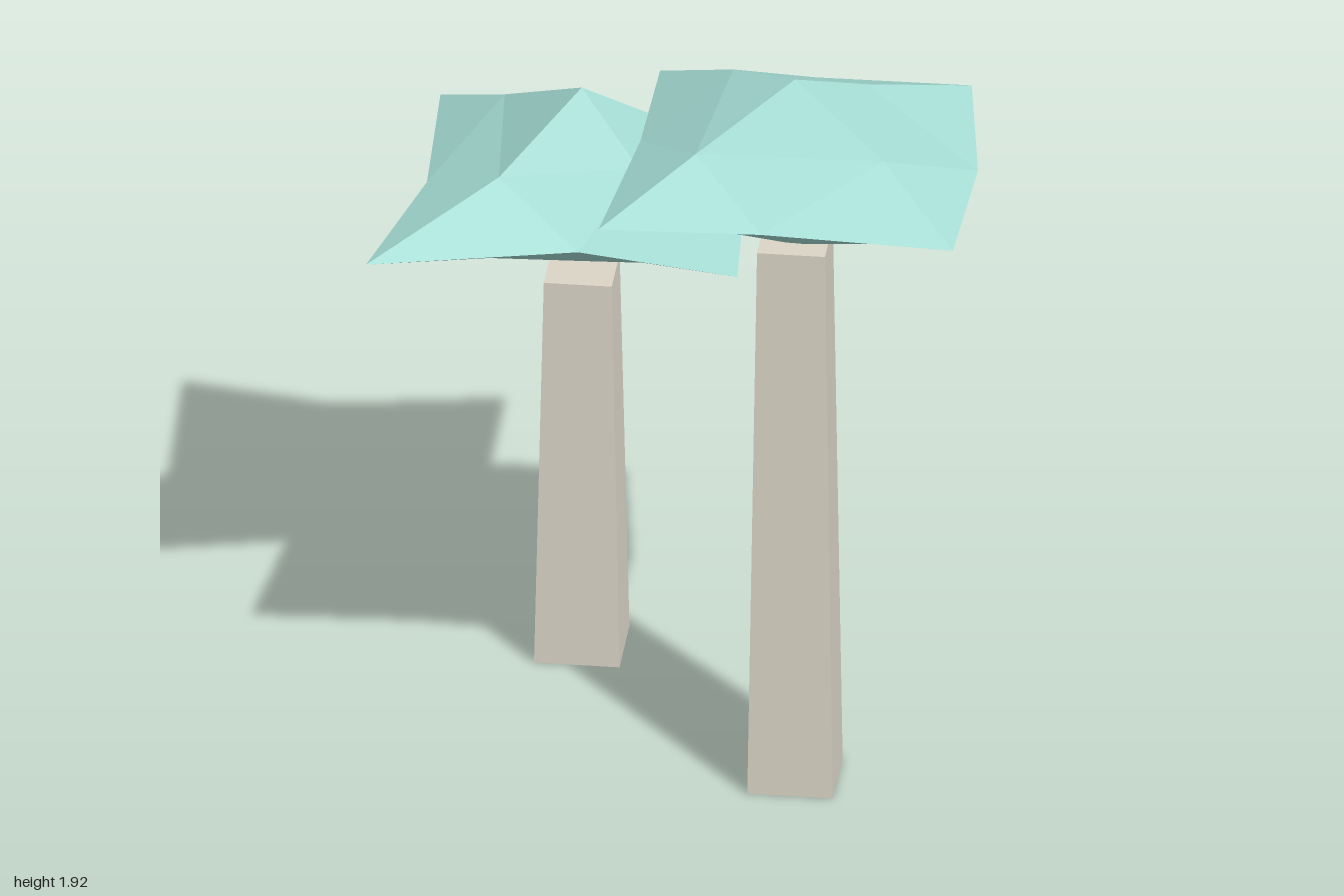
import * as THREE from 'three';

const Z = -0.055; // both trees share this depth

const barkMaterial = new THREE.MeshStandardMaterial({ color: 0xdcd6c8, flatShading: true });
const leafMaterial = new THREE.MeshStandardMaterial({ color: 0xa8e0d8, flatShading: true });

// Tapered square trunk with its corners on the x and z axes
function makeTrunk(x, height) {
  const trunk = new THREE.Mesh(new THREE.CylinderGeometry(0.117, 0.147, height, 4), barkMaterial);
  trunk.position.set(x, height / 2, Z);
  trunk.name = 'trunk';
  return trunk;
}

// Irregular faceted canopy: a stretched octahedron, each side split into four.
// rim: 8 [x, z] points from +x via +z; upper/lower: ridge points [x, y, z] at +x, +z, -x, -z
function makeCanopy({ x, rimY, topY, bottomY, rim, upper, lower }) {
  const positions = [];
  const ring = rim.map(([px, pz]) => [px, rimY, pz]);
  const addSide = (a, b, c, ab, bc, ca, flip) => {
    for (const [p, q, r] of [[a, ab, ca], [ab, b, bc], [ca, bc, c], [ab, bc, ca]]) {
      positions.push(...p, ...(flip ? r : q), ...(flip ? q : r));
    }
  };
  for (let i = 0; i < 4; i++) {
    const j = (i + 1) % 4;
    const a = ring[2 * i], mid = ring[2 * i + 1], c = ring[2 * j];
    addSide(a, [x, topY, Z], c, upper[i], upper[j], mid, false);
    addSide(a, [x, bottomY, Z], c, lower[i], lower[j], mid, true);
  }
  const geometry = new THREE.BufferGeometry();
  geometry.setAttribute('position', new THREE.Float32BufferAttribute(positions, 3));
  geometry.computeVertexNormals();
  const canopy = new THREE.Mesh(geometry, leafMaterial);
  canopy.name = 'canopy';
  return canopy;
}

function makeTree(name, trunkHeight, canopy) {
  const tree = new THREE.Group();
  tree.name = name;
  tree.add(makeTrunk(canopy.x, trunkHeight), makeCanopy(canopy));
  return tree;
}

export function createModel() {
  const model = new THREE.Group();
  model.name = 'trees';

  model.add(makeTree('shortTree', 1.04, {
    x: -0.45, rimY: 1.28, topY: 1.54, bottomY: 1.06,
    rim: [[0.155, Z], [-0.18, 0.17], [-0.45, 0.61], [-0.68, 0.24],
      [-1, Z], [-0.69, -0.27], [-0.45, -0.615], [-0.16, -0.33]],
    upper: [[-0.23, 1.414, Z], [-0.45, 1.38, 0.2], [-0.75, 1.39, Z], [-0.45, 1.385, -0.28]],
    lower: [[-0.21, 1.16, Z], [-0.45, 1.167, 0.23], [-0.72, 1.163, Z], [-0.45, 1.167, -0.235]],
  }));

  model.add(makeTree('tallTree', 1.485, {
    x: 0.38, rimY: 1.72, topY: 1.925, bottomY: 1.47,
    rim: [[0.995, Z], [0.645, 0.26], [0.38, 0.55], [0.1, 0.2],
      [-0.145, Z], [0.115, -0.33], [0.38, -0.6], [0.72, -0.35]],
    upper: [[0.725, 1.848, Z], [0.38, 1.825, 0.25], [0.14, 1.848, Z], [0.38, 1.834, -0.28]],
    lower: [[0.7, 1.61, Z], [0.38, 1.597, 0.2], [0.1, 1.597, Z], [0.38, 1.605, -0.315]],
  }));

  return model;
}
